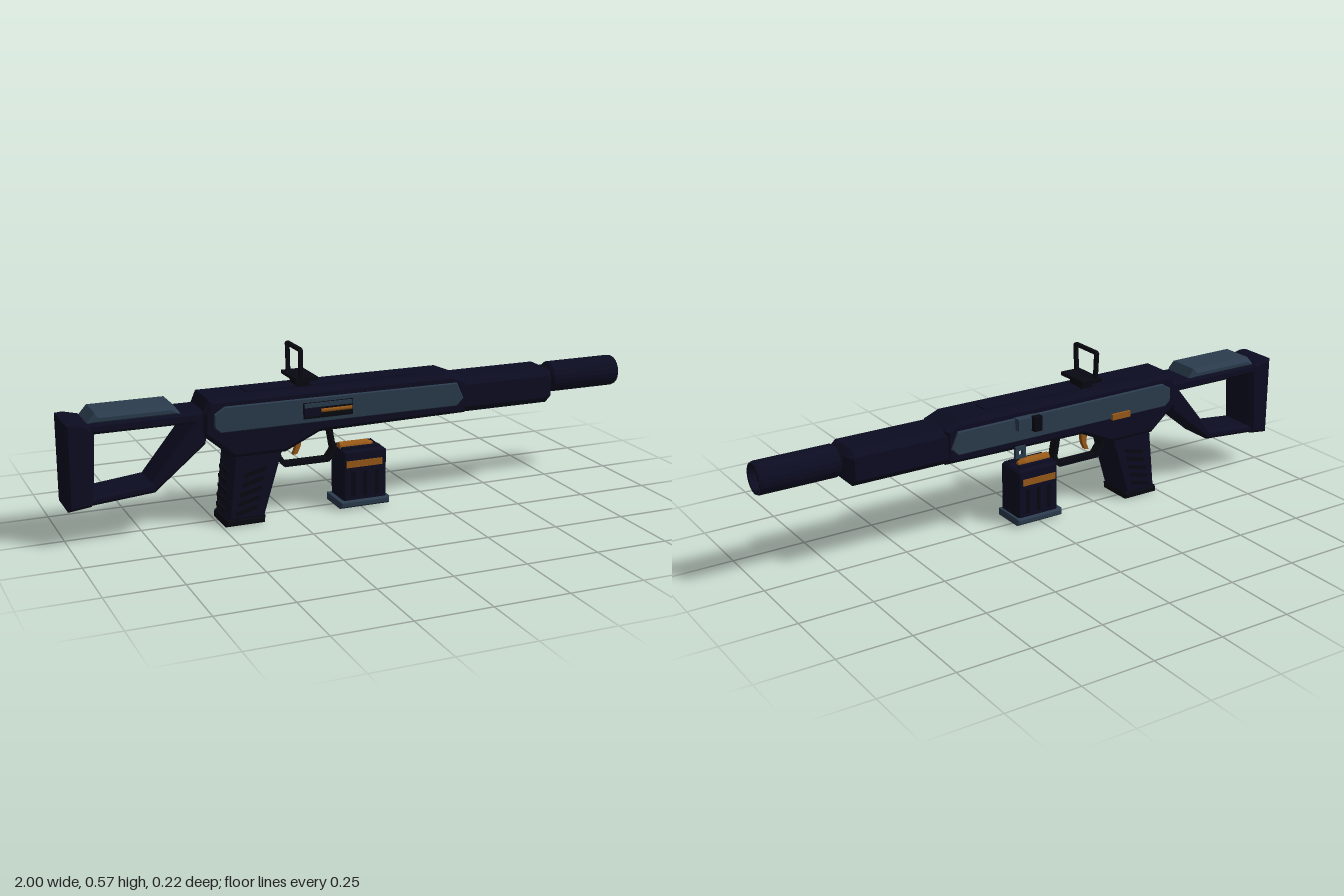
import * as THREE from 'three';

const mat = (name, color, extra = {}) => {
  const m = new THREE.MeshStandardMaterial({ color, ...extra });
  m.name = name;
  return m;
};

export function createModel() {
  const navy = mat('dark navy', 0x0c0c22);
  const black = mat('near black', 0x080812);
  const slate = mat('slate blue', 0x2b3c4e);
  const orange = mat('burnt orange', 0x9a5a18);

  const model = new THREE.Group();
  model.name = 'rifle';
  const body = new THREE.Group();
  body.name = 'body';
  body.position.z = 0.018; // side attachments make the outline lopsided
  model.add(body);

  const add = (name, geo, material, x = 0, y = 0, z = 0) => {
    const mesh = new THREE.Mesh(geo, material);
    mesh.name = name;
    mesh.position.set(x, y, z);
    body.add(mesh);
    return mesh;
  };
  // box given by its limits
  const box = (name, material, x0, x1, y0, y1, z0, z1) =>
    add(name, new THREE.BoxGeometry(x1 - x0, y1 - y0, z1 - z0), material,
      (x0 + x1) / 2, (y0 + y1) / 2, (z0 + z1) / 2);
  const vecs = (pts) => pts.map(([x, y]) => new THREE.Vector2(x, y));
  // side profile extruded symmetrically across z, with chamfered edges
  const profile = (name, material, pts, half, bevel = 0, hole = null, z = 0) => {
    const shape = new THREE.Shape(vecs(pts));
    if (hole) shape.holes.push(new THREE.Path(vecs(hole)));
    const geo = new THREE.ExtrudeGeometry(shape, {
      depth: 2 * (half - bevel), bevelEnabled: bevel > 0, bevelSize: bevel,
      bevelThickness: bevel, bevelOffset: -bevel, bevelSegments: 1,
    });
    geo.translate(0, 0, bevel - half);
    return add(name, geo, material, 0, 0, z);
  };

  // Receiver and handguard
  profile('receiver', navy, [[-0.56, 0.32], [-0.46, 0.235], [-0.28, 0.235], [-0.16, 0.29],
    [0.375, 0.297], [0.375, 0.415], [0.32, 0.437], [-0.54, 0.437], [-0.56, 0.39]], 0.08, 0.013);
  profile('handguard', navy, [[0.34, 0.295], [0.7, 0.295], [0.72, 0.315], [0.72, 0.398],
    [0.7, 0.417], [0.34, 0.417]], 0.076, 0.022);
  box('topRib', navy, -0.4, 0.2, 0.43, 0.441, -0.03, 0.03);

  // Side panels
  const panel = [[-0.525, 0.345], [-0.505, 0.327], [0.335, 0.327], [0.36, 0.352],
    [0.335, 0.408], [-0.49, 0.412], [-0.525, 0.39]];
  for (const s of [-1, 1]) profile('sidePanel', slate, panel, 0.005, 0.003, null, s * 0.082);

  // Ejection port with a cartridge, left side
  box('ejectionPort', black, -0.225, -0.05, 0.342, 0.396, 0.08, 0.0895);
  box('portCover', slate, -0.222, -0.055, 0.38, 0.394, 0.088, 0.094);
  box('boltFace', navy, -0.222, -0.165, 0.35, 0.38, 0.088, 0.093);
  const round = add('chamberedCartridge', new THREE.CylinderGeometry(0.009, 0.009, 0.11, 10), orange, -0.108, 0.366, 0.084);
  round.rotation.z = Math.PI / 2;

  // Charging handle, safety and sling loop, right side
  box('chargingStem', slate, 0.045, 0.12, 0.37, 0.411, -0.11, -0.08);
  box('chargingKnob', black, 0.04, 0.07, 0.365, 0.416, -0.128, -0.107);
  box('safetyLever', orange, -0.345, -0.27, 0.325, 0.346, -0.096, -0.085);
  profile('slingLoop', slate, [[0.083, 0.268], [0.122, 0.268], [0.122, 0.31], [0.083, 0.31]], 0.006, 0,
    [[0.094, 0.278], [0.111, 0.278], [0.111, 0.296], [0.094, 0.296]], -0.088);
  box('slingMount', black, 0.083, 0.122, 0.3, 0.314, -0.085, -0.06);

  // Barrel and hollow muzzle tube
  const barrel = add('barrel', new THREE.CylinderGeometry(0.044, 0.044, 0.06, 20), black, 0.72, 0.371, 0);
  barrel.rotation.z = Math.PI / 2;
  const tube = add('muzzleTube', new THREE.LatheGeometry(vecs([[0.001, 0], [0.048, 0], [0.054, 0.008],
    [0.054, 0.262], [0.051, 0.27], [0.042, 0.27], [0.038, 0.245], [0.001, 0.245]]), 20), navy, 0.73, 0.371, 0);
  tube.geometry = tube.geometry.toNonIndexed();
  tube.geometry.computeVertexNormals();
  tube.rotation.z = -Math.PI / 2;
  const bore = add('bore', new THREE.CircleGeometry(0.017, 16), slate, 0.9765, 0.371, 0);
  bore.rotation.y = Math.PI / 2;
  const rim = add('muzzleRim', new THREE.RingGeometry(0.049, 0.051, 20), slate, 1.0005, 0.371, 0);
  rim.rotation.y = Math.PI / 2;

  // Skeleton stock, butt plate and cheek rest
  profile('stock', navy, [[-0.96, 0.13], [-0.72, 0.15], [-0.55, 0.29], [-0.53, 0.4], [-0.96, 0.4]], 0.07, 0.01,
    [[-0.915, 0.163], [-0.73, 0.183], [-0.585, 0.363], [-0.905, 0.363]]);
  profile('buttPlate', navy, [[-1, 0.123], [-0.925, 0.132], [-0.91, 0.375], [-0.925, 0.4], [-0.975, 0.412], [-1, 0.41]],
    0.077, 0.01);
  profile('cheekRest', slate, [[-0.93, 0.396], [-0.625, 0.396], [-0.65, 0.43], [-0.9, 0.43]], 0.07, 0.014);

  // Pistol grip with side and back ridges
  profile('grip', navy, [[-0.485, 0.015], [-0.355, 0.015], [-0.285, 0.245], [-0.46, 0.245]], 0.066, 0.012);
  profile('gripBase', black, [[-0.49, 0], [-0.355, 0], [-0.352, 0.024], [-0.487, 0.024]], 0.069, 0.006);
  for (let i = 0; i < 5; i++) {
    const y = 0.05 + i * 0.032;
    const x = -0.418 + i * 0.008;
    for (const s of [-1, 1]) {
      const ridge = add('gripRidge', new THREE.BoxGeometry(0.075, 0.013, 0.008), black, x, y, s * 0.067);
      ridge.rotation.z = 0.25;
    }
    box('gripBackRidge', black, -0.487 + i * 0.0035, -0.465 + i * 0.0035, y - 0.006, y + 0.006, -0.045, 0.045);
  }

  // Trigger guard and trigger
  profile('triggerGuard', black, [[-0.3, 0.25], [-0.292, 0.2], [-0.265, 0.164], [-0.105, 0.164], [-0.08, 0.2],
    [-0.098, 0.298], [-0.13, 0.298]], 0.018, 0,
  [[-0.281, 0.238], [-0.277, 0.205], [-0.258, 0.178], [-0.112, 0.178], [-0.094, 0.203], [-0.108, 0.284], [-0.15, 0.286]]);
  profile('trigger', orange, [[-0.225, 0.27], [-0.222, 0.225], [-0.232, 0.2], [-0.217, 0.202], [-0.205, 0.228],
    [-0.2, 0.27]], 0.009);

  // Detached magazine with base, windows, ribs and top cartridge
  profile('magazine', navy, [[-0.07, 0.025], [0.087, 0.025], [0.087, 0.195], [0.078, 0.203], [-0.07, 0.203]], 0.056, 0.006);
  profile('magazineBase', slate, [[-0.085, 0.006], [0.096, 0.006], [0.096, 0.031], [-0.085, 0.031]], 0.064, 0.006);
  for (const s of [-1, 1]) {
    box('magazineWindow', orange, -0.06, 0.07, 0.146, 0.169, s * 0.057 - 0.002, s * 0.057 + 0.002);
    for (const x of [-0.035, 0.008, 0.05])
      box('magazineRib', black, x - 0.006, x + 0.006, 0.045, 0.13, s * 0.057 - 0.002, s * 0.057 + 0.002);
    box('feedLip', navy, -0.065, 0.07, 0.2, 0.21, s * 0.03 - 0.008, s * 0.03 + 0.008);
  }
  const bullet = add('topCartridge', new THREE.CylinderGeometry(0.017, 0.017, 0.1, 12), orange, -0.015, 0.206, 0);
  bullet.rotation.z = Math.PI / 2;
  const tip = add('cartridgeTip', new THREE.CylinderGeometry(0.008, 0.017, 0.022, 12), orange, 0.046, 0.206, 0);
  tip.rotation.z = -Math.PI / 2;

  // Flip-up sight: pedestal, plate and open frame
  box('sightPedestal', black, -0.225, -0.18, 0.43, 0.466, -0.033, 0.033);
  box('sightPlate', black, -0.242, -0.165, 0.463, 0.475, -0.068, 0.068);
  const frame = profile('sightFrame', black, [[-0.062, 0.472], [0.062, 0.472], [0.068, 0.565], [0.06, 0.573],
    [-0.06, 0.573], [-0.068, 0.565]], 0.006, 0,
  [[-0.05, 0.476], [0.05, 0.476], [0.054, 0.561], [-0.054, 0.561]]);
  frame.rotation.y = Math.PI / 2;
  frame.position.x = -0.222;

  return model;
}
